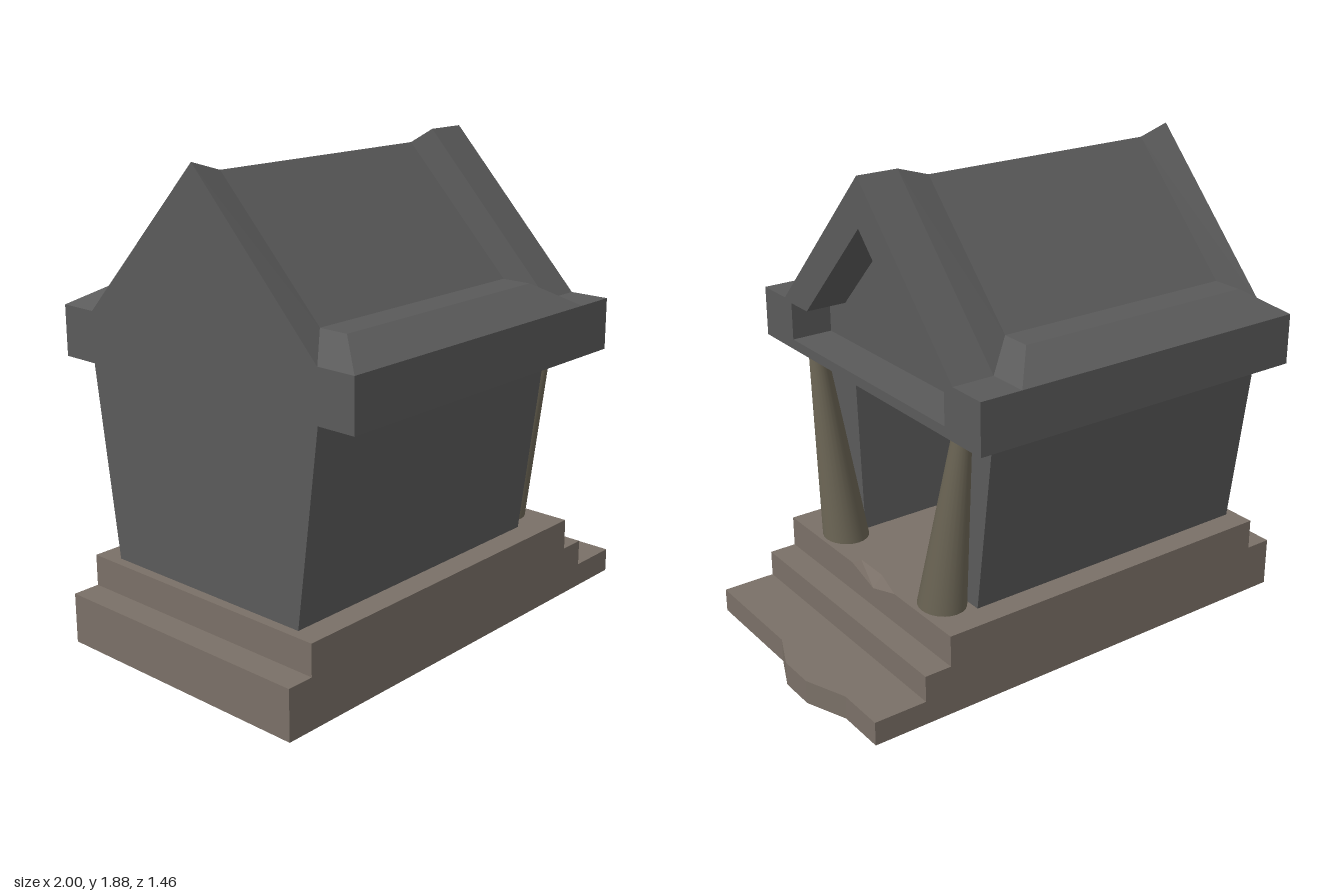
import * as THREE from 'three';

const material = (color, flatShading = true) => new THREE.MeshStandardMaterial({ color, flatShading });

export function createModel() {
  const model = new THREE.Group();
  const stone = material(0x7a7067);
  const grey = material(0x5a5a5a);
  const pillar = material(0x6a6454, false);

  const add = (name, geometry, mat) => {
    const mesh = new THREE.Mesh(geometry, mat);
    mesh.name = name;
    model.add(mesh);
    return mesh;
  };

  // Extrudes a [z, y] outline along x from x0 to x1
  const extrudeX = (points, x0, x1, hole) => {
    const toVectors = list => list.map(([z, y]) => new THREE.Vector2(-z, y));
    const shape = new THREE.Shape(toVectors(points));
    if (hole) shape.holes.push(new THREE.Path(toVectors(hole)));
    const geometry = new THREE.ExtrudeGeometry(shape, { depth: x1 - x0, bevelEnabled: false });
    return geometry.rotateY(Math.PI / 2).translate(x0, 0, 0);
  };

  // Mirrors the +z half of a profile and adds its ridge point
  const mirrored = (half, ridge) => [
    ...half.map(([z, y]) => [-z, y]), [0, ridge], ...half.slice().reverse(),
  ];

  // Bottom step with a bulging front
  const stepShape = new THREE.Shape([
    [-1, -0.57], [0.935, -0.57], [0.935, -0.1], [1, 0.05], [1, 0.2],
    [0.935, 0.37], [0.935, 0.57], [-1, 0.57],
  ].map(([x, y]) => new THREE.Vector2(x, y)));
  add('bottomStep', new THREE.ExtrudeGeometry(stepShape, { depth: 0.095, bevelEnabled: false })
    .rotateX(-Math.PI / 2), stone);

  // Middle slab
  add('middleStep', new THREE.BoxGeometry(1.72, 0.105, 1.14).translate(-0.14, 0.1475, 0), stone);

  // Upper slab with a worn dip in its front edge
  const slab = new THREE.BoxGeometry(1.5, 0.125, 1.14, 2, 1, 4);
  const xs = [-0.89, 0.57, 0.61];
  const zs = [-0.57, -0.2, -0.05, 0.1, 0.57];
  const pos = slab.attributes.position;
  for (let i = 0; i < pos.count; i++) {
    const ix = Math.round(pos.getX(i) / 0.75 + 1);
    const iz = Math.round(pos.getZ(i) / 0.285 + 2);
    const top = pos.getY(i) > 0;
    const y = top ? (ix === 2 && iz === 2 ? 0.28 : 0.325) : 0.2;
    pos.setXYZ(i, xs[ix], y, zs[iz]);
  }
  slab.computeVertexNormals();
  add('upperStep', slab, stone);

  // Walls leaning outwards around an open-fronted room
  for (const [side, s] of [['left', 1], ['right', -1]]) {
    const outline = [[0.47, 0.325], [0.57, 1.08], [0.35, 1.08], [0.31, 0.325]];
    add(s > 0 ? 'frontSideWall' : 'backSideWall',
      extrudeX(outline.map(([z, y]) => [z * s, y]), -0.85, 0.42), grey);
  }
  add('endWall', extrudeX([[0.31, 0.325], [0.35, 1.08], [-0.35, 1.08], [-0.31, 0.325]], -0.85, -0.63), grey);

  // Tapered porch columns that lean outwards
  for (const [name, base, head] of [['frontColumn', 0.325, 0.51], ['backColumn', -0.36, -0.49]]) {
    const column = new THREE.CylinderGeometry(0.034, 0.09, 0.755, 24);
    const p = column.attributes.position;
    for (let i = 0; i < p.count; i++) {
      const t = p.getY(i) / 0.755 + 0.5;
      p.setXYZ(i, p.getX(i) + 0.503 - 0.01 * t, 0.325 + 0.755 * t,
        p.getZ(i) * (1.12 - 0.12 * t) + base + (head - base) * t);
    }
    add(name, column, pillar);
  }

  // Roof: lofted between raised gable ends and a lower middle with swept eaves
  const gable = mirrored([[0.73, 1.08], [0.73, 1.28], [0.73, 1.28], [0.57, 1.28]], 1.88);
  const middle = mirrored([[0.73, 1.08], [0.73, 1.28], [0.58, 1.365], [0.46, 1.365]], 1.84);
  const tip = gable.map(() => [0, 1.15]);
  const sections = [
    [-0.85, tip], [-0.85, gable], [-0.72, middle], [0.29, middle], [0.42, gable], [0.42, tip],
  ];
  // The eave edge keeps its full length; only the roof above it steps inwards
  const point = (i, j) => {
    const [x, profile] = sections[i];
    const eave = j < 2 || j > gable.length - 3;
    const px = eave && profile === middle ? (i === 2 ? -0.85 : 0.42) : x;
    return [px, profile[j][1], profile[j][0]];
  };
  const verts = [];
  for (let i = 0; i < sections.length - 1; i++) {
    for (let j = 0; j < gable.length; j++) {
      const k = (j + 1) % gable.length;
      const [a, b, c, d] = [point(i, j), point(i, k), point(i + 1, k), point(i + 1, j)];
      verts.push(...a, ...b, ...c, ...a, ...c, ...d);
    }
  }
  const roof = new THREE.BufferGeometry();
  roof.setAttribute('position', new THREE.Float32BufferAttribute(verts, 3));
  roof.computeVertexNormals();
  add('roof', roof, grey);

  // Front gable frame around a sunken pediment
  const outer = mirrored([[0.73, 1.08], [0.73, 1.28], [0.57, 1.28]], 1.88);
  const inner = mirrored([[0.52, 1.12], [0.52, 1.27], [0.4, 1.27]], 1.69);
  add('pedimentFrame', extrudeX(outer, 0.42, 0.59, inner), grey);

  return model;
}
